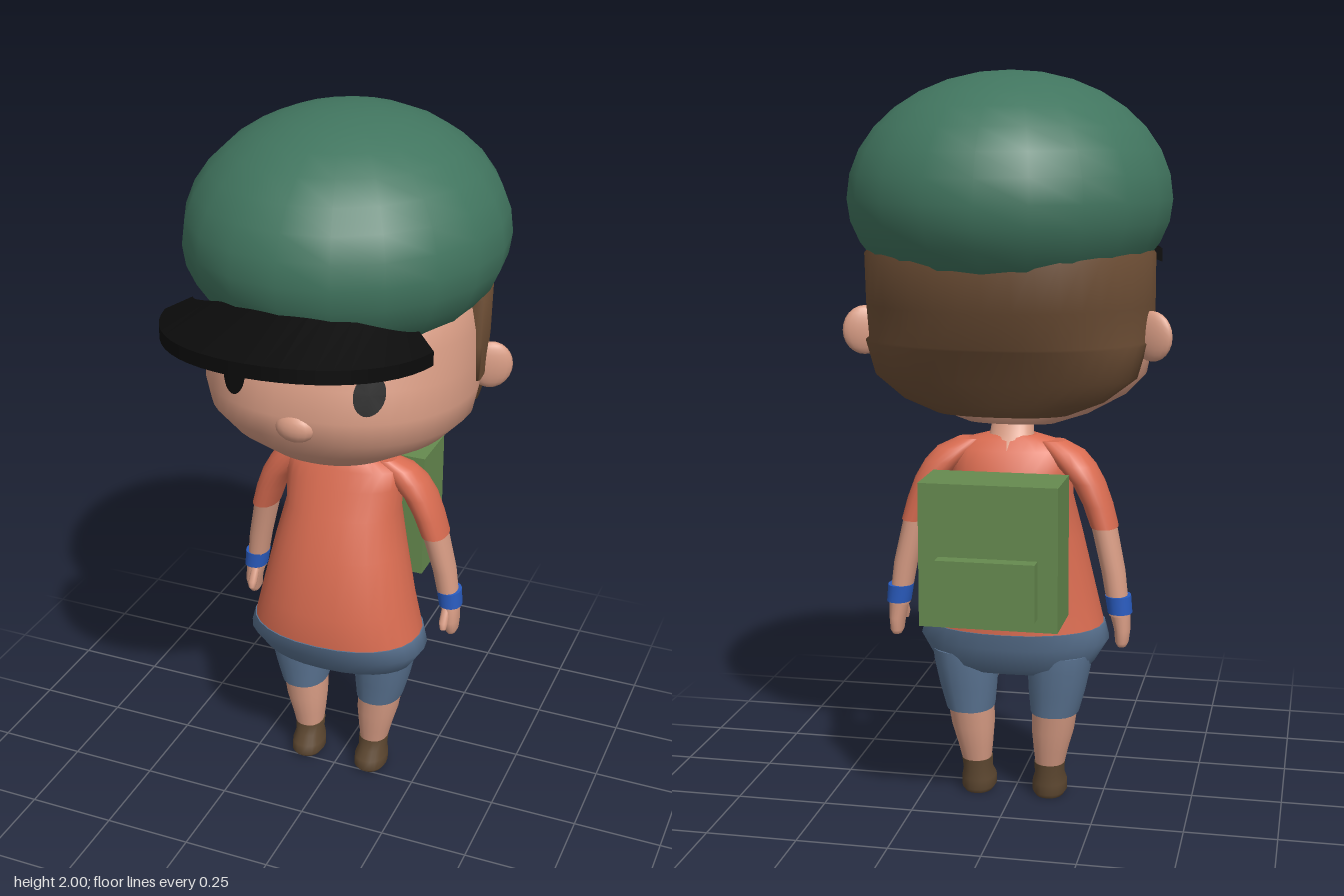
import * as THREE from 'three';

const mat = (name, color) => {
  const m = new THREE.MeshStandardMaterial({ color });
  m.name = name;
  return m;
};

// Superellipse ring point: front and back depths may differ
const POWER = 2.2;
const bend = (v) => Math.sign(v) * Math.pow(Math.abs(v), 2 / POWER);

// Skin over horizontal sections [y, cx, cz, halfWidth, frontDepth, backDepth], bottom to top
function loft(sections, side = 1, seg = 28) {
  const pos = [], idx = [];
  const ring = ([y, cx, cz, rx, front, back = front]) => {
    const start = pos.length / 3;
    for (let j = 0; j < seg; j++) {
      const t = (j / seg) * Math.PI * 2, c = Math.cos(t);
      pos.push(cx * side + rx * bend(Math.sin(t)), y, cz + (c > 0 ? front : back) * bend(c));
    }
    return start;
  };
  const starts = sections.map(ring);
  for (let i = 0; i < starts.length - 1; i++) {
    for (let j = 0; j < seg; j++) {
      const k = (j + 1) % seg, a = starts[i], b = starts[i + 1];
      idx.push(a + j, a + k, b + k, a + j, b + k, b + j);
    }
  }
  // Flat end caps with their own vertices
  [[sections[0], false], [sections[sections.length - 1], true]].forEach(([s, top]) => {
    const a = ring(s), centre = pos.length / 3;
    pos.push(s[1] * side, s[0], s[2]);
    for (let j = 0; j < seg; j++) {
      const k = (j + 1) % seg;
      if (top) idx.push(centre, a + j, a + k);
      else idx.push(centre, a + k, a + j);
    }
  });
  const g = new THREE.BufferGeometry();
  g.setAttribute('position', new THREE.Float32BufferAttribute(pos, 3));
  g.setIndex(idx);
  g.computeVertexNormals();
  return g;
}

const HEAD = [
  [1.07, 0, -0.08, 0.12, 0.14, 0.05], [1.10, 0, -0.08, 0.21, 0.24, 0.07],
  [1.155, 0, -0.08, 0.31, 0.305, 0.09], [1.21, 0, -0.08, 0.362, 0.343, 0.13],
  [1.28, 0, -0.08, 0.375, 0.358, 0.2], [1.36, 0, -0.08, 0.372, 0.335, 0.26],
  [1.45, 0, -0.08, 0.368, 0.305, 0.3], [1.55, 0, -0.08, 0.35, 0.28, 0.3],
  [1.6, 0, -0.08, 0.3, 0.22, 0.25],
];

// Depth of the face surface at x, y
function faceZ(x, y) {
  const i = Math.max(1, HEAD.findIndex((s) => s[0] >= y));
  const a = HEAD[i - 1], b = HEAD[i], t = (y - a[0]) / (b[0] - a[0]);
  const rx = a[3] + (b[3] - a[3]) * t, f = a[4] + (b[4] - a[4]) * t;
  return a[2] + f * Math.pow(1 - Math.pow(Math.abs(x) / rx, POWER), 1 / POWER);
}

// Lay a flat geometry onto the face
function ontoFace(g, cx, cy, arch = 0) {
  const p = g.attributes.position;
  for (let i = 0; i < p.count; i++) {
    const x = p.getX(i), wx = cx + x, wy = cy + p.getY(i) - arch * x * x;
    p.setXYZ(i, wx, wy, faceZ(wx, wy) + 0.007);
  }
  g.computeVertexNormals();
  return g;
}

// Arched crescent brim, swept from a four-cornered section
function brimGeometry() {
  const pos = [], idx = [], n = 24;
  for (let i = 0; i <= n; i++) {
    const u = (i / n) * 2 - 1, a = u * 1.378, s = Math.sin(a), c = Math.cos(a), u2 = s * s;
    const ox = 0.372 * s, oz = 0.183 + 0.372 * c;
    const ix = 0.315 * s, iz = 0.175 + 0.15 * c;
    const oy = 1.547 - 0.03 * u2, iy = 1.602 - 0.062 * u2;
    pos.push(ox, oy, oz, ix, iy, iz, ix, iy - 0.035, iz, ox, oy - 0.037, oz);
  }
  for (let i = 0; i < n; i++) {
    for (let k = 0; k < 4; k++) {
      const a = i * 4 + k, b = i * 4 + ((k + 1) % 4);
      idx.push(a, a + 4, b + 4, a, b + 4, b);
    }
  }
  const e = n * 4;
  idx.push(0, 1, 2, 0, 2, 3, e, e + 2, e + 1, e, e + 3, e + 2);
  const g = new THREE.BufferGeometry();
  g.setAttribute('position', new THREE.Float32BufferAttribute(pos, 3));
  g.setIndex(idx);
  const flat = g.toNonIndexed();
  flat.computeVertexNormals();
  return flat;
}

export function createModel() {
  const root = new THREE.Group();
  root.name = 'boyWithBackpack';
  const skin = mat('skin', 0xd99d85), green = mat('capGreen', 0x41755f);
  const black = mat('black', 0x0b0b0b), hairBrown = mat('hairBrown', 0x6d4e35);
  const orange = mat('shirtOrange', 0xd96c51), denim = mat('shortsBlue', 0x597290);
  const blue = mat('bandBlue', 0x2a5cc0), packGreen = mat('packGreen', 0x668a4f);
  const shoeBrown = mat('shoeBrown', 0x5e4831);
  black.side = THREE.DoubleSide;
  const add = (name, geometry, material, x = 0, y = 0, z = 0) => {
    const m = new THREE.Mesh(geometry, material);
    m.name = name;
    m.position.set(x, y, z);
    root.add(m);
    return m;
  };

  // Head, nose, neck and hair
  add('head', loft(HEAD, 1, 48), skin);
  add('nose', new THREE.SphereGeometry(1, 16, 10).scale(0.055, 0.04, 0.03), skin, 0, 1.25, 0.262);
  add('neck', loft([[1.0, 0, -0.09, 0.085, 0.07], [1.04, 0, -0.08, 0.06, 0.045],
    [1.12, 0, -0.05, 0.052, 0.045]]), skin);
  add('hair', loft([
    [1.115, 0, -0.2, 0.18, 0.08, 0.09], [1.15, 0, -0.19, 0.27, 0.06, 0.13],
    [1.21, 0, -0.17, 0.35, 0.03, 0.18], [1.3, 0, -0.16, 0.375, 0.02, 0.245],
    [1.305, 0, -0.08, 0.382, 0.02, 0.327], [1.4, 0, -0.08, 0.385, 0.02, 0.37],
    [1.53, 0, -0.08, 0.385, 0.02, 0.4], [1.6, 0, -0.08, 0.33, 0.02, 0.36],
  ], 1, 40), hairBrown);

  // Cap: ellipsoid with a shallower lower half
  const dome = new THREE.SphereGeometry(1, 20, 16).scale(0.428, 0.33, 0.468);
  const dp = dome.attributes.position;
  for (let i = 0; i < dp.count; i++) if (dp.getY(i) < 0) dp.setY(i, dp.getY(i) * 0.89);
  add('capDome', dome, green, 0, 1.67, -0.093);
  add('capBrim', brimGeometry(), black);

  // Shirt and hips
  add('shirt', loft([
    [0.5, 0, -0.035, 0.25, 0.172, 0.175], [0.6, 0, -0.035, 0.225, 0.175, 0.175],
    [0.76, 0, -0.05, 0.19, 0.15, 0.16], [0.87, 0, -0.07, 0.166, 0.125, 0.14],
    [0.95, 0, -0.08, 0.17, 0.1, 0.115], [1.0, 0, -0.08, 0.165, 0.075, 0.08],
    [1.025, 0, -0.08, 0.12, 0.062, 0.058], [1.038, 0, -0.08, 0.07, 0.05, 0.045],
  ]), orange);
  add('shortsHips', loft([
    [0.375, 0, -0.06, 0.205, 0.1, 0.09], [0.4, 0, -0.045, 0.228, 0.135, 0.14],
    [0.46, 0, -0.035, 0.265, 0.165, 0.17], [0.505, 0, -0.035, 0.252, 0.176, 0.179],
  ]), denim);

  // Paired parts
  [[1, 'left'], [-1, 'right']].forEach(([s, label]) => {
    const pair = (name, sections, material) => add(label + name, loft(sections, s, 20), material);
    add(label + 'Eye', ontoFace(new THREE.CircleGeometry(1, 28).scale(0.038, 0.053, 1), s * 0.188, 1.357), black);
    add(label + 'Brow', ontoFace(new THREE.PlaneGeometry(0.12, 0.015, 10, 1), s * 0.19, 1.449, 4), hairBrown);
    const ear = add(label + 'Ear', new THREE.SphereGeometry(1, 16, 12).scale(0.06, 0.066, 0.022), skin,
      s * 0.386, 1.32, -0.16);
    ear.rotation.y = s * 0.4;

    pair('Sleeve', [
      [0.8, 0.261, -0.118, 0.037, 0.058], [0.86, 0.242, -0.114, 0.04, 0.061],
      [0.92, 0.215, -0.112, 0.045, 0.063], [0.965, 0.18, -0.108, 0.055, 0.06],
      [1.0, 0.148, -0.1, 0.055, 0.05], [1.025, 0.11, -0.09, 0.04, 0.035],
    ], orange);
    pair('Forearm', [
      [0.56, 0.306, -0.135, 0.028, 0.033], [0.68, 0.288, -0.13, 0.032, 0.042],
      [0.81, 0.258, -0.118, 0.034, 0.053],
    ], skin);
    pair('Wristband', [[0.567, 0.308, -0.135, 0.033, 0.039], [0.615, 0.302, -0.135, 0.035, 0.041]], blue);
    pair('Hand', [
      [0.473, 0.314, -0.135, 0.012, 0.02], [0.485, 0.314, -0.135, 0.018, 0.03],
      [0.52, 0.314, -0.13, 0.022, 0.036], [0.57, 0.307, -0.135, 0.028, 0.033],
    ], skin);
    pair('Thumb', [
      [0.505, 0.303, -0.087, 0.009, 0.01], [0.525, 0.302, -0.092, 0.013, 0.014],
      [0.565, 0.302, -0.115, 0.012, 0.013],
    ], skin);

    pair('ShortsLeg', [
      [0.255, 0.12, -0.07, 0.067, 0.082], [0.32, 0.126, -0.07, 0.079, 0.09],
      [0.39, 0.132, -0.07, 0.088, 0.1], [0.43, 0.135, -0.07, 0.09, 0.1],
    ], denim);
    pair('Shin', [
      [0.08, 0.104, -0.062, 0.038, 0.043], [0.14, 0.108, -0.065, 0.048, 0.056],
      [0.2, 0.114, -0.067, 0.059, 0.068], [0.27, 0.12, -0.07, 0.064, 0.077],
    ], skin);
    pair('Shoe', [
      [0, 0.102, -0.045, 0.04, 0.05, 0.055], [0.012, 0.102, -0.045, 0.048, 0.06, 0.063],
      [0.04, 0.102, -0.048, 0.048, 0.058, 0.06], [0.065, 0.103, -0.056, 0.041, 0.046, 0.052],
      [0.1, 0.104, -0.063, 0.043, 0.048],
    ], shoeBrown);
  });

  // Backpack with outer pocket
  add('backpack', new THREE.BoxGeometry(0.365, 0.38, 0.17), packGreen, 0, 0.77, -0.32);
  add('backpackPocket', new THREE.BoxGeometry(0.26, 0.152, 0.05), packGreen, 0, 0.692, -0.42);
  return root;
}
